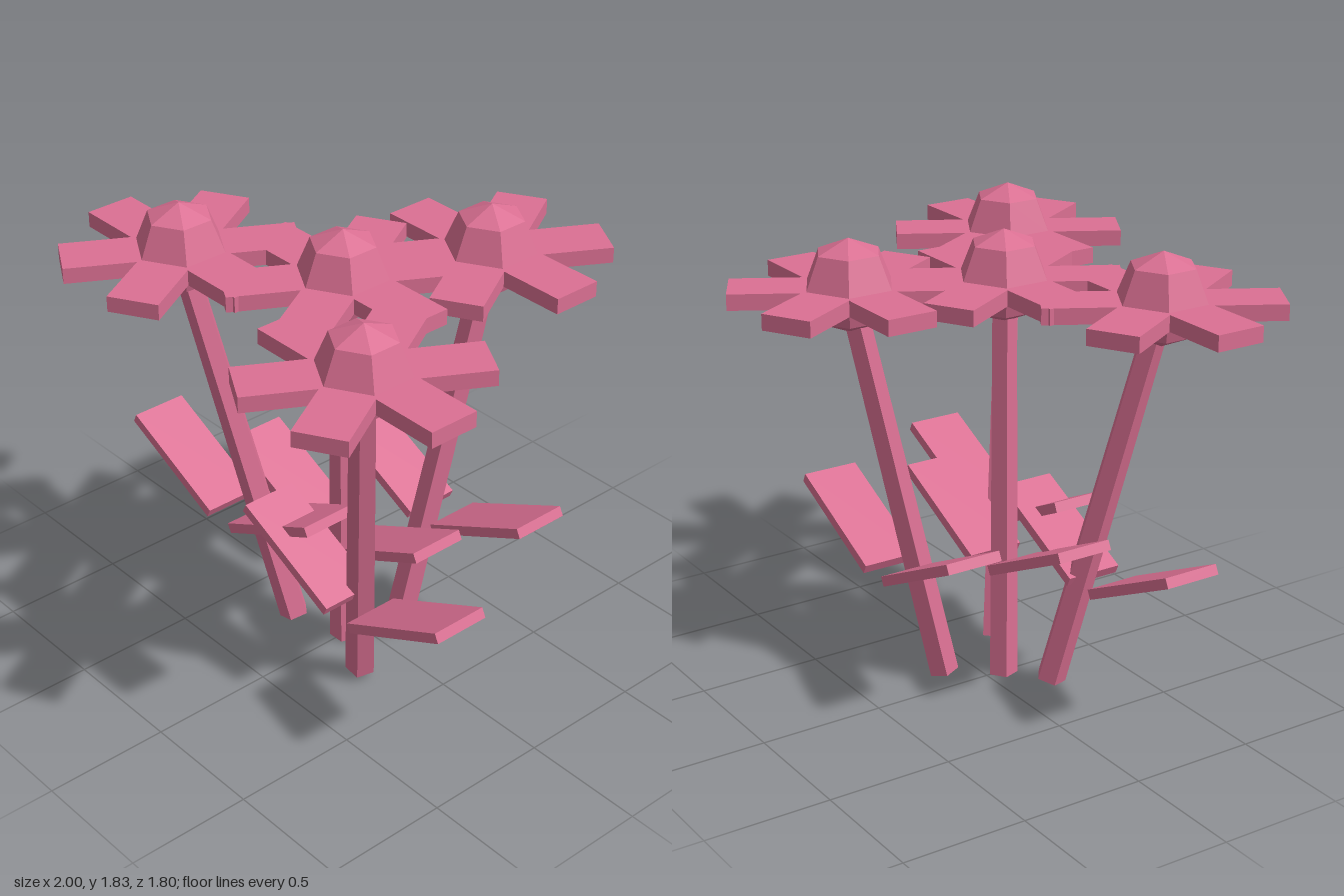
import * as THREE from 'three';

const pink = new THREE.MeshStandardMaterial({ color: 0xdb7093 });
pink.name = 'dusty pink';

const HEAD_Y = 1.645;

// Each flower: head centre (x, z), stem foot (x, y, z), middle of its leaf pair (x, z)
const flowers = [
  { name: 'leftFlower', head: [0.555, 0.465], foot: [0.233, 0.035, 0.195], leaf: [0.4, 0.345] },
  { name: 'rightFlower', head: [-0.558, 0.388], foot: [-0.205, 0.035, 0.165], leaf: [-0.39, 0.275] },
  { name: 'middleFlower', head: [0, 0.075], foot: [0, 0, 0.075], leaf: [0, 0.08] },
  { name: 'backFlower', head: [0.208, -0.468], foot: [0.085, 0.032, -0.15], leaf: [0.14, -0.315] },
];

function flat(geometry) {
  const g = geometry.index ? geometry.toNonIndexed() : geometry;
  g.computeVertexNormals();
  return g;
}

const budGeometry = flat(new THREE.SphereGeometry(0.18, 6, 4).rotateY(Math.PI / 6));
const petalGeometry = new THREE.BoxGeometry(0.89, 0.062, 0.2);
const leafGeometry = new THREE.BoxGeometry(0.52, 0.04, 0.23);

function add(parent, name, geometry) {
  const mesh = new THREE.Mesh(geometry, pink);
  mesh.name = name;
  parent.add(mesh);
  return mesh;
}

function makeFlower({ name, head, foot, leaf }) {
  const flower = new THREE.Group();
  flower.name = name;

  // Five-sided tapering stem leaning from the foot to the head
  const base = new THREE.Vector3(...foot);
  const top = new THREE.Vector3(head[0], HEAD_Y - 0.02, head[1]);
  const axis = top.clone().sub(base);
  const stemGeometry = flat(new THREE.CylinderGeometry(0.05, 0.06, axis.length(), 5).rotateY(Math.PI));
  const stem = add(flower, 'stem', stemGeometry);
  stem.position.copy(base).add(top).multiplyScalar(0.5);
  stem.quaternion.setFromUnitVectors(new THREE.Vector3(0, 1, 0), axis.normalize());

  // Faceted centre
  add(flower, 'flowerCentre', budGeometry).position.set(head[0], HEAD_Y, head[1]);

  // Three crossed bars make six petals
  for (let i = 0; i < 3; i++) {
    const petals = add(flower, 'petalPair', petalGeometry);
    petals.position.set(head[0], 1.617, head[1]);
    petals.rotation.y = (i * Math.PI) / 3;
  }

  // Mirrored leaves rising outward
  for (const side of [-1, 1]) {
    const blade = add(flower, side > 0 ? 'leftLeaf' : 'rightLeaf', leafGeometry);
    blade.position.set(leaf[0] + side * 0.3, 0.604, leaf[1]);
    blade.rotation.z = side * 0.45;
  }
  return flower;
}

export function createModel() {
  const bunch = new THREE.Group();
  bunch.name = 'flowerBunch';
  flowers.forEach((f) => bunch.add(makeFlower(f)));
  return bunch;
}
